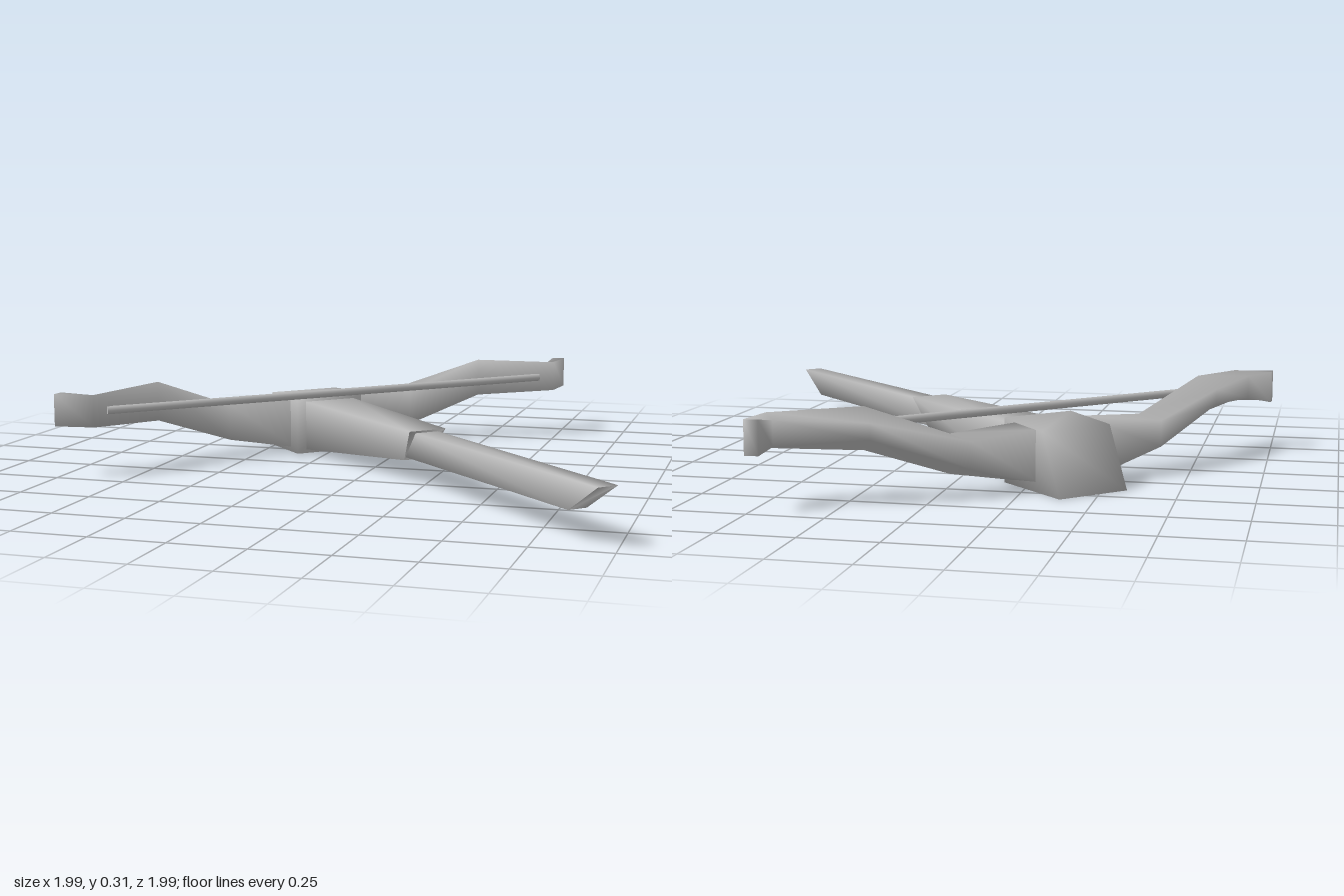
import * as THREE from 'three';

// Skins a run of four-cornered sections, closed at both ends, with shared smooth normals
function loft(sections) {
  const index = [];
  sections.forEach((_, k) => {
    if (!k) return;
    const a = (k - 1) * 4, b = k * 4;
    for (let i = 0; i < 4; i++) {
      const j = (i + 1) % 4;
      index.push(a + i, a + j, b + j, a + i, b + j, b + i);
    }
  });
  const e = (sections.length - 1) * 4;
  index.push(0, 2, 1, 0, 3, 2, e, e + 1, e + 2, e, e + 2, e + 3);
  const g = new THREE.BufferGeometry();
  g.setAttribute('position', new THREE.Float32BufferAttribute(sections.flat(2), 3));
  g.setIndex(index);
  g.computeVertexNormals();
  return g;
}

// Section across the stock: bottom and top edges as [half width, y, z]
const across = ([wb, yb, zb], [wt, yt, zt]) =>
  [[-wb, yb, zb], [wb, yb, zb], [wt, yt, zt], [-wt, yt, zt]];

export function createModel() {
  const model = new THREE.Group();
  const grey = new THREE.MeshStandardMaterial({ color: 0xb8b8b8 });
  grey.name = 'plain grey';

  // The weapon is laid out along z, then turned diagonally
  const bow = new THREE.Group();
  bow.name = 'crossbow';
  bow.rotation.y = Math.PI / 4;
  model.add(bow);

  const add = (name, geometry) => {
    const mesh = new THREE.Mesh(geometry, grey);
    mesh.name = name;
    bow.add(mesh);
    return mesh;
  };

  // Wedge-fronted head block
  add('head', loft([
    across([0.134, 0, -0.686], [0.134, 0.205, -0.587]),
    across([0.134, 0, -0.365], [0.134, 0.22, -0.365]),
  ]));

  // Tapered body with an undercut end
  add('stockBody', loft([
    across([0.1, 0.012, -0.385], [0.1, 0.195, -0.385]),
    across([0.045, 0.078, 0.29], [0.07, 0.19, 0.37]),
  ]));

  // Slim tail with an undercut end
  add('stockTail', loft([
    across([0.045, 0.09, 0.25], [0.045, 0.182, 0.25]),
    across([0.033, 0.09, 1.228], [0.035, 0.182, 1.37]),
  ]));

  // Limb sections, thinner along the front edge:
  // front edge [x, z, bottom, top], then back edge [x, z, bottom, top]
  const limb = [
    [[0.12, -0.55, 0.03, 0.205], [0.12, -0.425, 0.015, 0.212]],
    [[0.38, -0.55, 0.1, 0.19], [0.382, -0.424, 0.065, 0.197]],
    [[0.693, -0.467, 0.21, 0.263], [0.672, -0.389, 0.165, 0.305]],
    [[0.958, -0.336, 0.195, 0.278], [0.95, -0.266, 0.18, 0.292]],
    [[1.027, -0.383, 0.18, 0.292], [1.062, -0.354, 0.18, 0.292]],
  ];
  for (const side of [1, -1]) {
    const sections = limb.map(([[xf, zf, bf, tf], [xb, zb, bb, tb]]) => {
      const corners = [
        [side * xf, bf, zf], [side * xf, tf, zf],
        [side * xb, tb, zb], [side * xb, bb, zb],
      ];
      return side > 0 ? corners : corners.reverse();
    });
    add(side > 0 ? 'leftLimb' : 'rightLimb', loft(sections));
  }

  // Bowstring
  const string = add('bowstring', new THREE.CylinderGeometry(0.015, 0.015, 1.79, 6));
  string.rotation.z = Math.PI / 2;
  string.position.set(0, 0.232, -0.293);

  return model;
}
